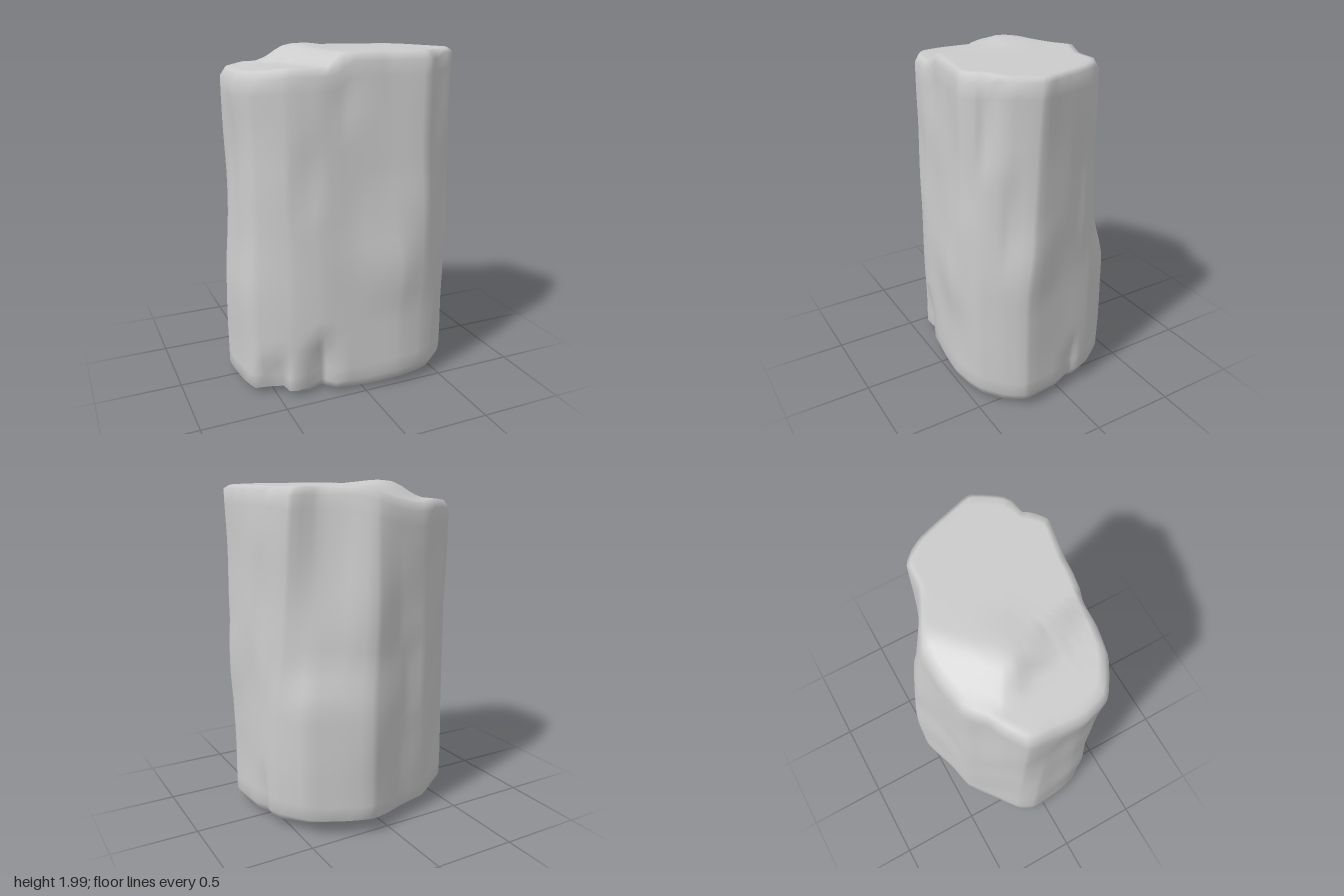
import * as THREE from 'three';

const N = 72; // columns around the pillar

// Outline corners, +x round through the front (+z): [x, z near the foot, x, z at the rim]
const CORNERS = [
  [0.61, -0.08, 0.62, 0.0], [0.63, 0.08, 0.65, 0.1], [0.645, 0.26, 0.675, 0.2], [0.56, 0.38, 0.58, 0.35],
  [0.46, 0.47, 0.44, 0.44], [0.36, 0.5, 0.35, 0.5], [0.21, 0.51, 0.12, 0.45], [-0.02, 0.48, -0.12, 0.43],
  [-0.25, 0.45, -0.27, 0.42], [-0.42, 0.4, -0.43, 0.38], [-0.61, 0.28, -0.6, 0.27], [-0.655, 0.15, -0.65, 0.12],
  [-0.675, -0.08, -0.64, -0.02], [-0.62, -0.18, -0.63, -0.18], [-0.5, -0.27, -0.5, -0.27],
  [-0.31, -0.42, -0.32, -0.38], [-0.12, -0.46, -0.12, -0.42], [0.12, -0.535, 0.03, -0.41],
  [0.3, -0.47, 0.16, -0.35], [0.47, -0.38, 0.32, -0.28], [0.58, -0.22, 0.48, -0.27], [0.6, -0.14, 0.57, -0.14],
];

// Dents and bulges: [x, y, z, half width, half height, depth inwards]
const DENTS = [
  [-0.28, 0.05, 0.44, 0.09, 0.33, 0.1], [-0.53, 0.03, 0.33, 0.1, 0.22, 0.1],
  [0.49, 1.75, 0.42, 0.06, 0.3, 0.04], [0.58, 1.2, 0.33, 0.09, 0.3, 0.03],
  [-0.32, 1.3, 0.4, 0.1, 0.25, 0.02], [0.22, 0.9, 0.51, 0.3, 0.4, -0.03],
  [0.62, 0.1, -0.07, 0.06, 0.25, 0.03], [0.62, 1.35, -0.1, 0.08, 0.35, 0.02],
  [-0.42, 1.6, -0.32, 0.07, 0.5, 0.03], [-0.2, 0.9, -0.43, 0.12, 0.25, 0.02],
  [-0.65, 1.2, 0.05, 0.35, 0.55, 0.035], [0.63, 0.95, 0.2, 0.15, 0.25, -0.02],
  [-0.1, 1.8, 0.43, 0.1, 0.2, 0.02], [0.1, 1.35, -0.45, 0.2, 0.55, -0.04],
];

const curveOf = (k) => new THREE.CatmullRomCurve3(
  CORNERS.map((c) => new THREE.Vector3(c[k], 0, c[k + 1])), true, 'catmullrom', 0.2);
const step = THREE.MathUtils.smoothstep;

// Uneven underside, lowest near the front
const footHeight = (x, z) => 0.005 + 0.15 * Math.max(0, -z) + 0.05 * Math.abs(x) + 0.2 * Math.max(0, z - 0.36);

// Crown with a lower shelf beyond a diagonal crease, sinking towards the back
function crownHeight(x, z) {
  const high = step(x + 0.32 - 0.42 * z, -0.05, 0.07);
  const peak = 0.025 * Math.exp(-((x + 0.17) ** 2 + (z + 0.1) ** 2) / 0.03);
  const sink = 0.1 * step(-0.6 * x - 0.8 * z, 0.2, 0.48);
  const shelf = 1.9 - 0.12 * Math.max(0, -0.4 - x);
  return THREE.MathUtils.lerp(shelf, 1.975 + peak - sink, high);
}

// How far the wall has moved from foot outline to rim outline at height y
function rimWeight(y) {
  if (y < 0.72) return 0;
  if (y < 1.1) return 0.45 * step(y, 0.72, 1.1);
  return 0.45 + 0.55 * (y - 1.1) / 0.87;
}

function wallPoint(foot, rim, y) {
  const p = foot.clone().lerp(rim, rimWeight(y));
  let push = 0.005 * Math.sin(7 * y + 9 * p.x) * Math.cos(3 * y - 8 * p.z);
  for (const [x, cy, z, w, h, depth] of DENTS) {
    const across = Math.hypot(p.x - x, p.z - z) / w;
    const along = (y - cy) / h;
    push += depth * Math.max(0, 1 - across) * Math.max(0, 1 - along * along);
  }
  return p.multiplyScalar(1 - push / p.length()).setY(y);
}

function rockGeometry() {
  const footCurve = curveOf(0), rimCurve = curveOf(2);
  const rings = [];
  const wallSteps = 22;
  // Ring list: underside outwards, up the wall, crown inwards
  for (const s of [0, 0.25, 0.5, 0.75, 0.95]) rings.push({ cap: 'foot', s });
  for (let k = 0; k <= wallSteps; k++) rings.push({ t: k / wallSteps });
  for (const s of [0.95, 0.88, 0.78, 0.68, 0.58, 0.48, 0.36, 0.24, 0.12, 0]) rings.push({ cap: 'crown', s });

  const positions = [], index = [];
  for (const ring of rings) {
    for (let i = 0; i < N; i++) {
      const foot = footCurve.getPoint(i / N), rim = rimCurve.getPoint(i / N);
      // The foot is rounder at the front left, sharper at the back and right
      const y0 = footHeight(foot.x, foot.z) + 0.01 + 0.045 * step(foot.x + foot.z, -0.2, 0.6);
      const y1 = crownHeight(rim.x, rim.z) - (rim.x > 0.5 ? 0.02 : 0.045);
      let p;
      if (ring.cap) {
        const isFoot = ring.cap === 'foot';
        p = wallPoint(foot, rim, isFoot ? y0 : y1);
        p.x *= ring.s;
        p.z = 0.03 + (p.z - 0.03) * ring.s;
        p.y = isFoot ? footHeight(p.x, p.z) : crownHeight(p.x, p.z);
      } else {
        p = wallPoint(foot, rim, y0 + (y1 - y0) * ring.t);
      }
      positions.push(p.x, p.y, p.z);
    }
  }
  // Pole rings collapse to a point, so each keeps one triangle per column
  for (let j = 0; j < rings.length - 1; j++) {
    for (let i = 0; i < N; i++) {
      const a = j * N + i, b = j * N + (i + 1) % N, c = a + N, d = b + N;
      if (j > 0) index.push(a, c, b);
      if (j < rings.length - 2) index.push(b, c, d);
      else index.push();
    }
  }
  const geometry = new THREE.BufferGeometry();
  geometry.setAttribute('position', new THREE.Float32BufferAttribute(positions, 3));
  geometry.setIndex(index);
  geometry.computeVertexNormals();
  return geometry;
}

export function createModel() {
  const group = new THREE.Group();
  group.name = 'rockPillar';
  const rock = new THREE.Mesh(rockGeometry(), new THREE.MeshStandardMaterial({ color: 0xcccccc, roughness: 0.9 }));
  rock.name = 'rock';
  group.add(rock);
  return group;
}
